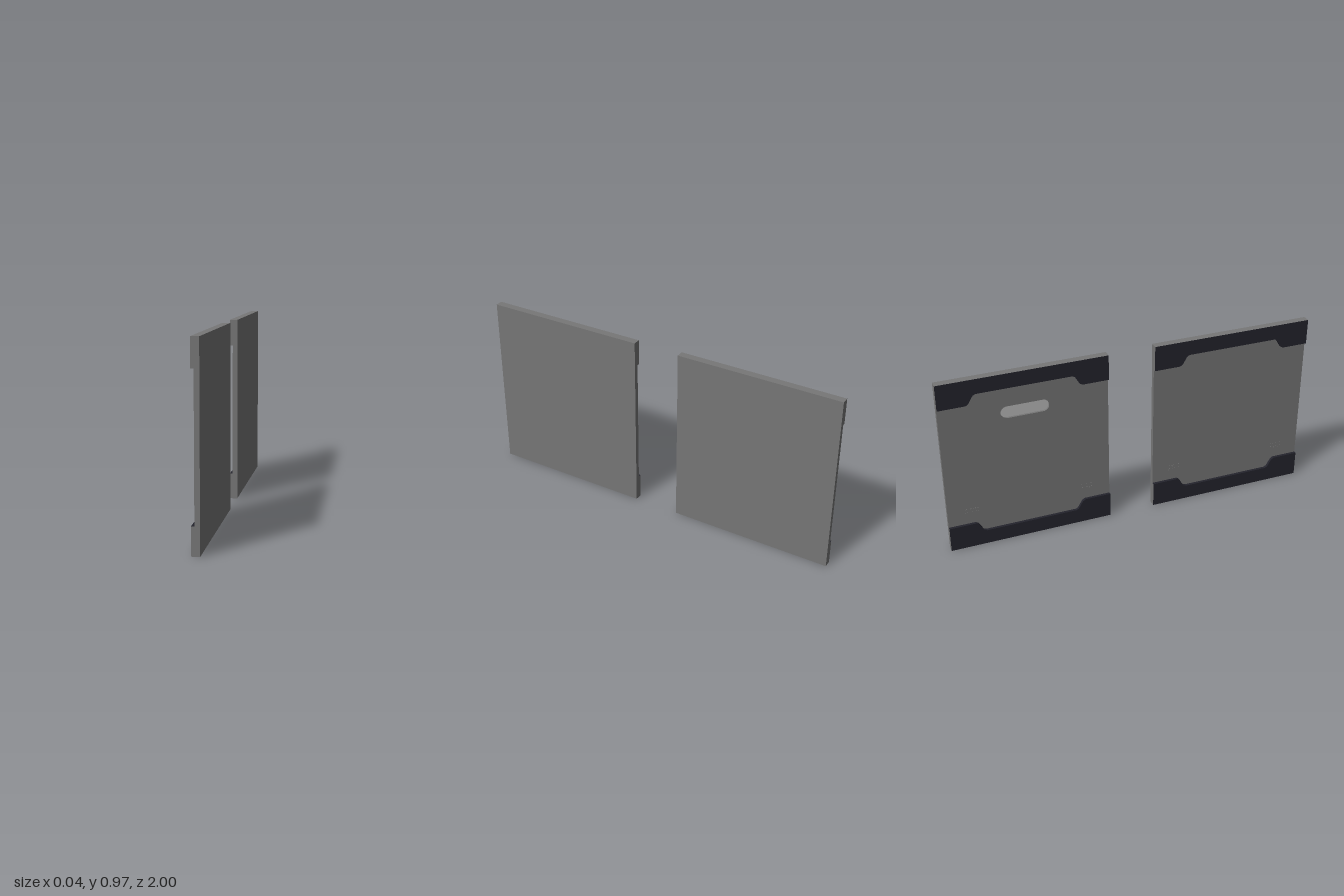
import * as THREE from 'three';

const W = 0.875, H = 0.966, HALF = W / 2;

const grey = new THREE.MeshStandardMaterial({ color: 0x777777 });
grey.name = 'panel grey';
const dark = new THREE.MeshStandardMaterial({ color: 0x24242d });
dark.name = 'dark trim';
const light = new THREE.MeshStandardMaterial({ color: 0xbcbcbc });
light.name = 'light recess';

// Extrudes a (z, y) outline towards -x, starting at x = x0
function slab(shape, x0, depth) {
  const g = new THREE.ExtrudeGeometry(shape, { depth, bevelEnabled: false, curveSegments: 12 });
  g.rotateY(-Math.PI / 2);
  g.translate(x0, 0, 0);
  return g;
}

function add(parent, name, geometry, material) {
  const mesh = new THREE.Mesh(geometry, material);
  mesh.name = name;
  parent.add(mesh);
  return mesh;
}

// Rounded slot outline centred at height y
function slot(Type, length, radius, y) {
  const s = new Type(), a = length / 2 - radius;
  s.moveTo(-a, y - radius);
  s.lineTo(a, y - radius);
  s.absarc(a, y, radius, -Math.PI / 2, Math.PI / 2, false);
  s.lineTo(-a, y + radius);
  s.absarc(-a, y, radius, Math.PI / 2, Math.PI * 1.5, false);
  return s;
}

// Edge strip with deeper ends: dark face and inner edge, grey outer sides
function stripGeometry() {
  const outline = [
    [-HALF, 0], [HALF, 0], [HALF, 0.137], [0.297, 0.137], [0.283, 0.128], [0.258, 0.086],
    [0.244, 0.08], [-0.244, 0.08], [-0.258, 0.086], [-0.283, 0.128], [-0.297, 0.137], [-HALF, 0.137],
  ];
  const shape = new THREE.Shape(outline.map(([z, y]) => new THREE.Vector2(z, y)));
  const g = slab(shape, -0.005, 0.015);
  const p = g.attributes.position;
  g.clearGroups();
  for (let i = 0; i < p.count; i += 3) {
    const on = (test) => [i, i + 1, i + 2].every(test);
    const outer = on((k) => Math.abs(p.getY(k)) < 1e-5)
      || on((k) => Math.abs(p.getZ(k) - HALF) < 1e-5)
      || on((k) => Math.abs(p.getZ(k) + HALF) < 1e-5);
    g.addGroup(i, 3, outer ? 1 : 0);
  }
  return g;
}

function makePanel(name, hasHandle) {
  const panel = new THREE.Group();
  panel.name = name;

  // Plain outer sheet
  const sheet = new THREE.BoxGeometry(0.012, H, W);
  sheet.translate(0.014, H / 2, 0);
  add(panel, 'outerSheet', sheet, grey);

  // Inner sheet, with the grip recess cut through it
  const face = new THREE.Shape();
  face.moveTo(-HALF, 0);
  face.lineTo(HALF, 0);
  face.lineTo(HALF, H);
  face.lineTo(-HALF, H);
  face.closePath();
  if (hasHandle) {
    face.holes.push(slot(THREE.Path, 0.25, 0.033, 0.745));
    add(panel, 'gripRecessFloor', slab(slot(THREE.Shape, 0.25, 0.033, 0.745), 0.008, 0.002), light);
  }
  add(panel, 'innerSheet', slab(face, 0.008, 0.013), grey);

  // Bottom and top edge strips
  const strip = stripGeometry();
  add(panel, 'bottomStrip', strip, [dark, grey]);
  const top = add(panel, 'topStrip', strip, [dark, grey]);
  top.rotation.x = Math.PI;
  top.position.y = H;

  // Small raised marks near the lower corners
  const mark = new THREE.BoxGeometry(0.002, 0.01, 0.018);
  for (const side of [-1, 1]) {
    for (let row = 0; row < 2; row++) {
      for (let col = -1; col <= 1; col++) {
        const m = add(panel, 'raisedMark', mark, grey);
        m.position.set(-0.0055, 0.2 + row * 0.02, side * 0.31 + col * 0.026);
      }
    }
  }
  return panel;
}

export function createModel() {
  const model = new THREE.Group();
  model.name = 'panelPair';
  const back = makePanel('handlePanel', true);
  back.position.z = -0.5625;
  const front = makePanel('plainPanel', false);
  front.position.z = 0.5625;
  model.add(back, front);
  return model;
}
